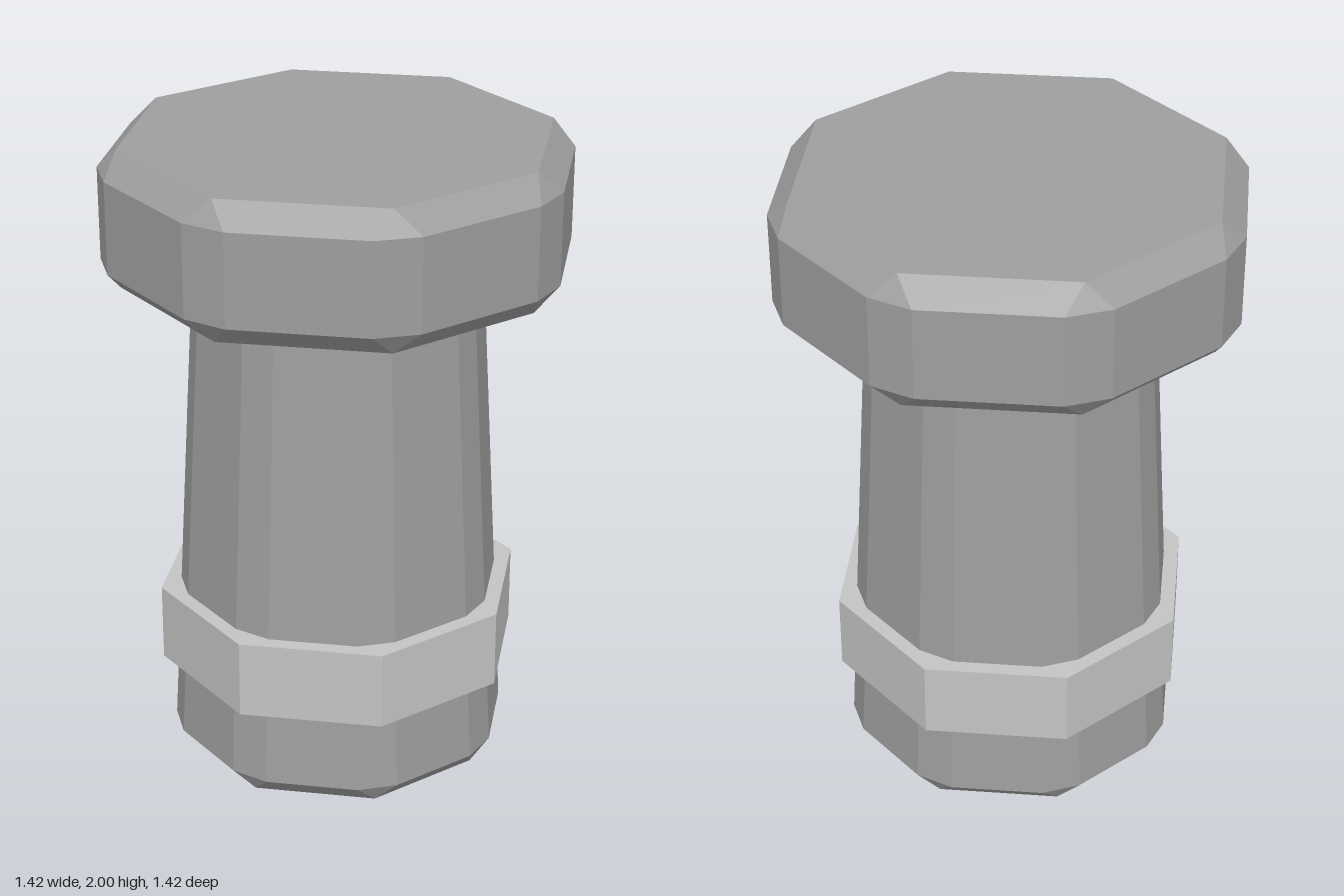
import * as THREE from 'three';
import { ConvexGeometry } from 'three/addons/geometries/ConvexGeometry.js';

const SIDES = 8;

// Octagonal block with every edge chamfered.
// Each ring is { y, r, half }: half is half the width of the cut corner (0 = sharp corner).
function chamferedOctagon(rings) {
  const points = [];
  for (const { y, r, half } of rings) {
    const spread = Math.asin(half / r);
    for (let i = 0; i < SIDES; i++) {
      const a = (i / SIDES) * Math.PI * 2;
      for (const t of half ? [a - spread, a + spread] : [a]) {
        points.push(new THREE.Vector3(Math.sin(t) * r, y, Math.cos(t) * r));
      }
    }
  }
  return new ConvexGeometry(points);
}

export function createModel() {
  const group = new THREE.Group();
  group.name = 'bollard';

  const darkGrey = new THREE.MeshStandardMaterial({ name: 'darkGrey', color: 0x9e9e9e, flatShading: true });
  const lightGrey = new THREE.MeshStandardMaterial({ name: 'lightGrey', color: 0xc4c4c4, flatShading: true });

  const add = (name, geometry, material) => {
    const mesh = new THREE.Mesh(geometry, material);
    mesh.name = name;
    group.add(mesh);
    return mesh;
  };

  // Tapered post, its top end tucked into the cap
  add('post', chamferedOctagon([
    { y: 0, r: 0.49, half: 0 },
    { y: 0.062, r: 0.528, half: 0.062 },
    { y: 1.54, r: 0.444, half: 0.053 },
    { y: 1.6, r: 0.405, half: 0 },
  ]), darkGrey);

  // Wide cap
  add('cap', chamferedOctagon([
    { y: 1.575, r: 0.66, half: 0 },
    { y: 1.645, r: 0.711, half: 0.07 },
    { y: 1.93, r: 0.711, half: 0.07 },
    { y: 2, r: 0.66, half: 0 },
  ]), darkGrey);

  // Plain band around the foot
  add('band', new THREE.CylinderGeometry(0.57, 0.57, 0.245, SIDES), lightGrey).position.y = 0.4325;

  return group;
}
